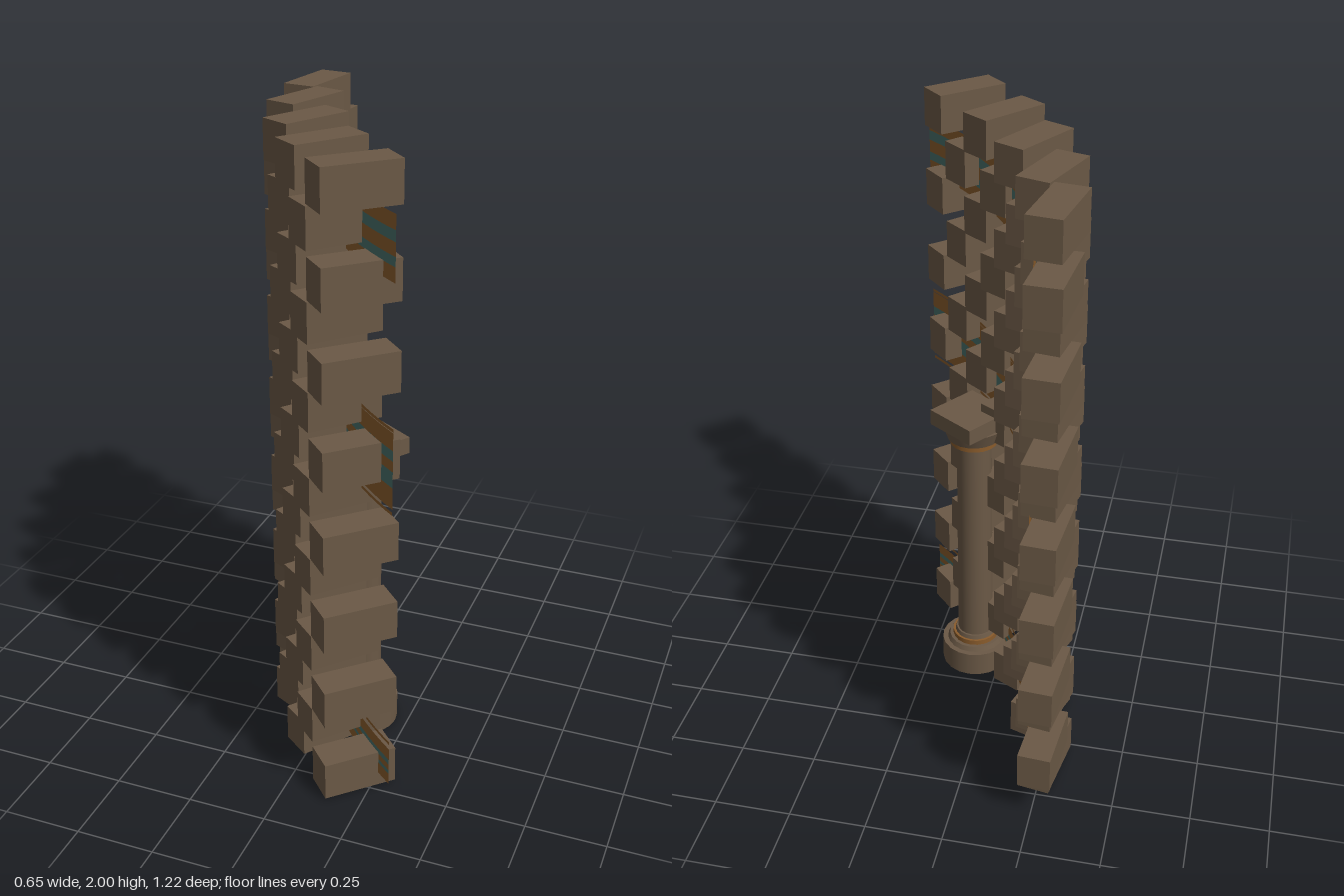
import * as THREE from 'three';

const mat = (name, color, side = THREE.FrontSide) => {
  const m = new THREE.MeshStandardMaterial({ color, side });
  m.name = name;
  return m;
};

export function createModel() {
  const brickBrown = mat('brick brown', 0x6b5946);
  const ochre = mat('ochre', 0x8a5c2c, THREE.DoubleSide);
  const teal = mat('teal', 0x47706a, THREE.DoubleSide);

  const model = new THREE.Group();
  model.name = 'curvedBrickScreen';
  const deg = Math.PI / 180;
  const centre = { x: 1.226, z: -0.6 }; // axis of the curved wall

  const add = (parent, name, geometry, material, x, y, z) => {
    const mesh = new THREE.Mesh(geometry, material);
    mesh.name = name;
    mesh.position.set(x, y, z);
    parent.add(mesh);
    return mesh;
  };
  const group = (name) => {
    const g = new THREE.Group();
    g.name = name;
    model.add(g);
    return g;
  };

  // Fifteen courses of turned bricks, every other course shifted by half a step
  const wall = group('brickWall');
  const brick = new THREE.BoxGeometry(0.105, 0.123, 0.235);
  for (let row = 0; row < 15; row++) {
    for (let i = 0; i < 5; i++) {
      const a = (4 + 4.72 * (2 * i + (row % 2 ? 0 : 1))) * deg;
      const b = add(wall, 'brick', brick, brickBrown,
        centre.x - 1.5 * Math.cos(a), 0.07 + row * 0.1335, centre.z + 1.5 * Math.sin(a));
      b.rotation.y = -a;
    }
  }

  // Striped ribbons threaded through the bricks along the inner curve
  const bands = group('stripedBands');
  const ribbon = (name, y0, y1, material) => {
    const g = new THREE.CylinderGeometry(1.444, 1.444, y1 - y0, 28, 1, true,
      (4.4 - 90) * deg, 46.8 * deg);
    add(bands, name, g, material, centre.x, (y0 + y1) / 2, centre.z);
  };
  // Each list holds the heights where the colour changes, starting with ochre
  const layouts = [
    [0.055, 0.093, 0.107, 0.128, 0.146, 0.186],
    [1.018, 1.085, 1.135, 1.168, 1.2, 1.255],
    [1.688, 1.732, 1.76, 1.8, 1.832, 1.876],
  ];
  for (const h of layouts) {
    for (let i = 0; i < h.length - 1; i++) {
      ribbon(i % 2 ? 'tealStripe' : 'ochreStripe', h[i], h[i + 1], i % 2 ? teal : ochre);
    }
  }
  for (const y of [0.208, 1.003, 1.262]) ribbon('trimLine', y - 0.005, y + 0.005, ochre);

  // Free-standing column with round base and square cap
  const column = group('column');
  const drum = (name, rTop, rBottom, y0, y1, material) =>
    add(column, name, new THREE.CylinderGeometry(rTop, rBottom, y1 - y0, 20), material,
      0.093, (y0 + y1) / 2, 0.145);
  drum('base', 0.118, 0.118, 0, 0.088, brickBrown);
  drum('baseStep', 0.092, 0.1, 0.088, 0.104, brickBrown);
  drum('lowerCollar', 0.08, 0.08, 0.104, 0.122, ochre);
  drum('lowerNeck', 0.068, 0.072, 0.122, 0.136, brickBrown);
  drum('shaft', 0.058, 0.062, 0.13, 0.92, brickBrown);
  drum('upperCollar', 0.08, 0.08, 0.915, 0.937, ochre);
  drum('capital', 0.106, 0.09, 0.937, 0.984, brickBrown);
  const cap = add(column, 'squareCap', new THREE.BoxGeometry(0.187, 0.054, 0.187), brickBrown,
    0.1, 1.01, 0.13);
  cap.rotation.y = -34 * deg;

  return model;
}
